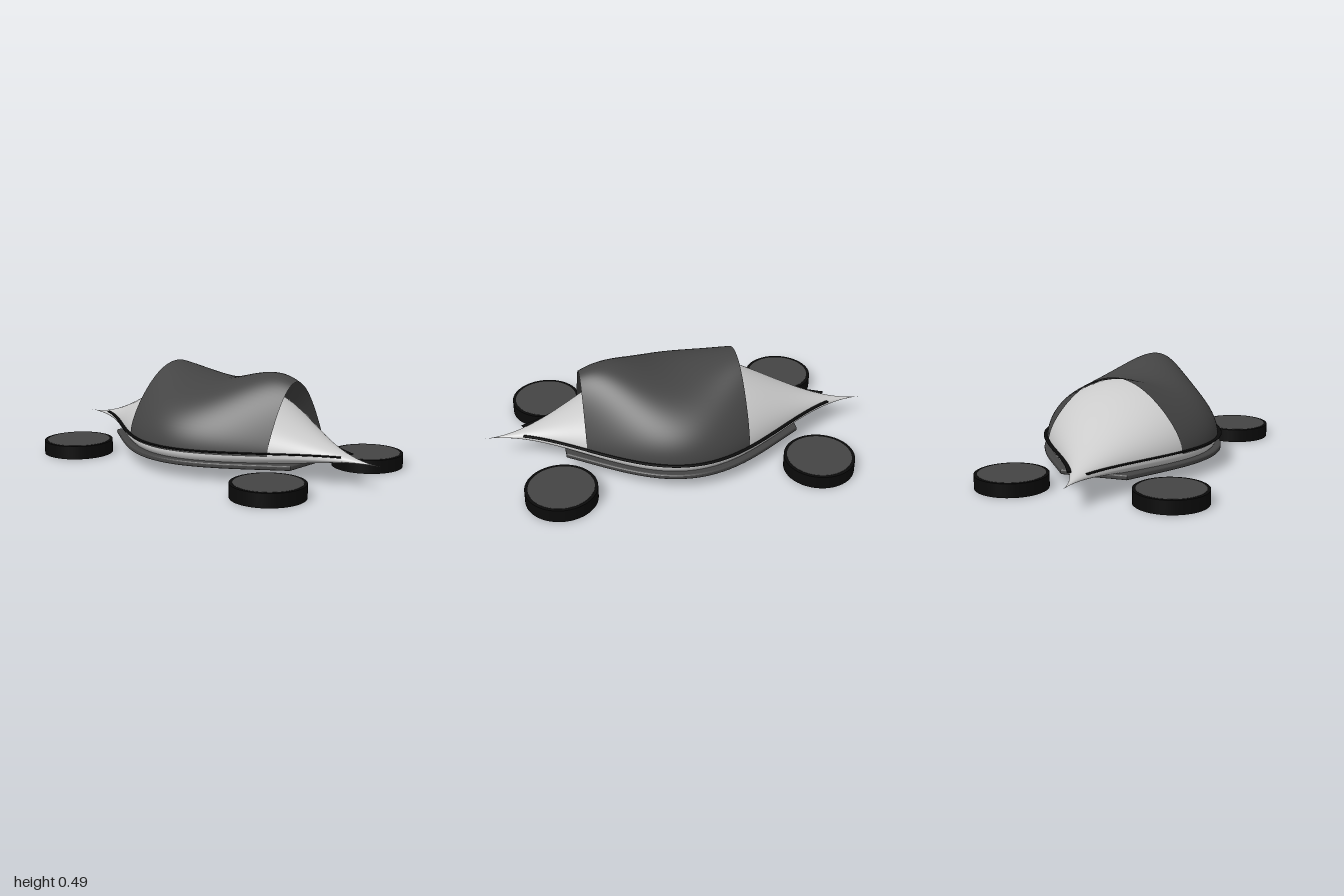
import * as THREE from 'three';
import { ParametricGeometry } from 'three/addons/geometries/ParametricGeometry.js';

const paint = (color) => new THREE.MeshStandardMaterial({ color, side: THREE.DoubleSide });
const light = paint(0xcccccc);
const dark = paint(0x444444);
const black = paint(0x0a0a0a);

// Shared taper: 1 amidships, easing to 0 at the pointed ends
const taper = (x) => Math.cos((Math.PI * x) / 2) ** 2;
const MID = 0.125;

export function createModel() {
  const group = new THREE.Group();
  const add = (name, geometry, material, parent = group) => {
    const mesh = new THREE.Mesh(geometry, material);
    mesh.name = name;
    parent.add(mesh);
    return mesh;
  };

  // Hull: tall upper half-ellipse, shallow lower half-ellipse
  add('hull', new ParametricGeometry((u, v, p) => {
    const x = u * 2 - 1, t = v * Math.PI * 2, s = Math.sin(t), k = taper(x);
    p.set(x, MID + k * s * (s > 0 ? 0.297 : 0.125), 0.432 * k * Math.cos(t));
  }, 80, 64), light);

  // Canopy: open shell over the hull, lifted in a wave along the ridge
  add('canopy', new ParametricGeometry((u, v, p) => {
    const x = -0.3 + u * 0.8, t = v * Math.PI, s = Math.sin(t), k = taper(x);
    const lift = 0.18 * Math.sin(Math.PI * x) ** 2;
    p.set(x, 0.13 + 0.3 * k * s + lift * s ** 3, 0.437 * k * Math.cos(t));
  }, 48, 48), dark);

  // Thin trim line along each flank
  for (const side of [1, -1]) {
    const points = [];
    for (let i = 0; i <= 32; i++) {
      const x = -0.8 + i * 0.05;
      points.push(new THREE.Vector3(x, 0, side * (0.445 * taper(x) + 0.001)));
    }
    const tube = new THREE.TubeGeometry(new THREE.CatmullRomCurve3(points), 80, 0.011, 8);
    tube.scale(1, 0.35, 1).translate(0, 0.145, 0);
    add(side > 0 ? 'frontTrim' : 'backTrim', tube, black);
  }

  // Skirt plate with blunt ends; the hull bulges through below it
  const outline = [];
  for (const side of [1, -1]) {
    for (let i = 0; i <= 40; i++) {
      const x = side * (-0.59 + (i / 40) * 1.18);
      outline.push(new THREE.Vector2(x, -side * 0.443 * taper(x)));
    }
  }
  const skirt = new THREE.ExtrudeGeometry(new THREE.Shape(outline), {
    depth: 0.01, bevelThickness: 0.008, bevelSize: 0.01, bevelSegments: 4,
  });
  skirt.rotateX(-Math.PI / 2).translate(0, 0.075, 0);
  add('skirt', skirt, dark);

  // Four flat discs: black rim with a grey face above and below
  for (const x of [0.652, -0.652]) {
    for (const z of [0.393, -0.393]) {
      const disc = new THREE.Group();
      disc.name = `${z > 0 ? 'front' : 'back'}${x > 0 ? 'Left' : 'Right'}Disc`;
      disc.position.set(x, 0.035, z);
      add('discRim', new THREE.CylinderGeometry(0.179, 0.179, 0.068, 48), black, disc);
      add('discFace', new THREE.CylinderGeometry(0.163, 0.163, 0.07, 48), dark, disc);
      group.add(disc);
    }
  }
  return group;
}
